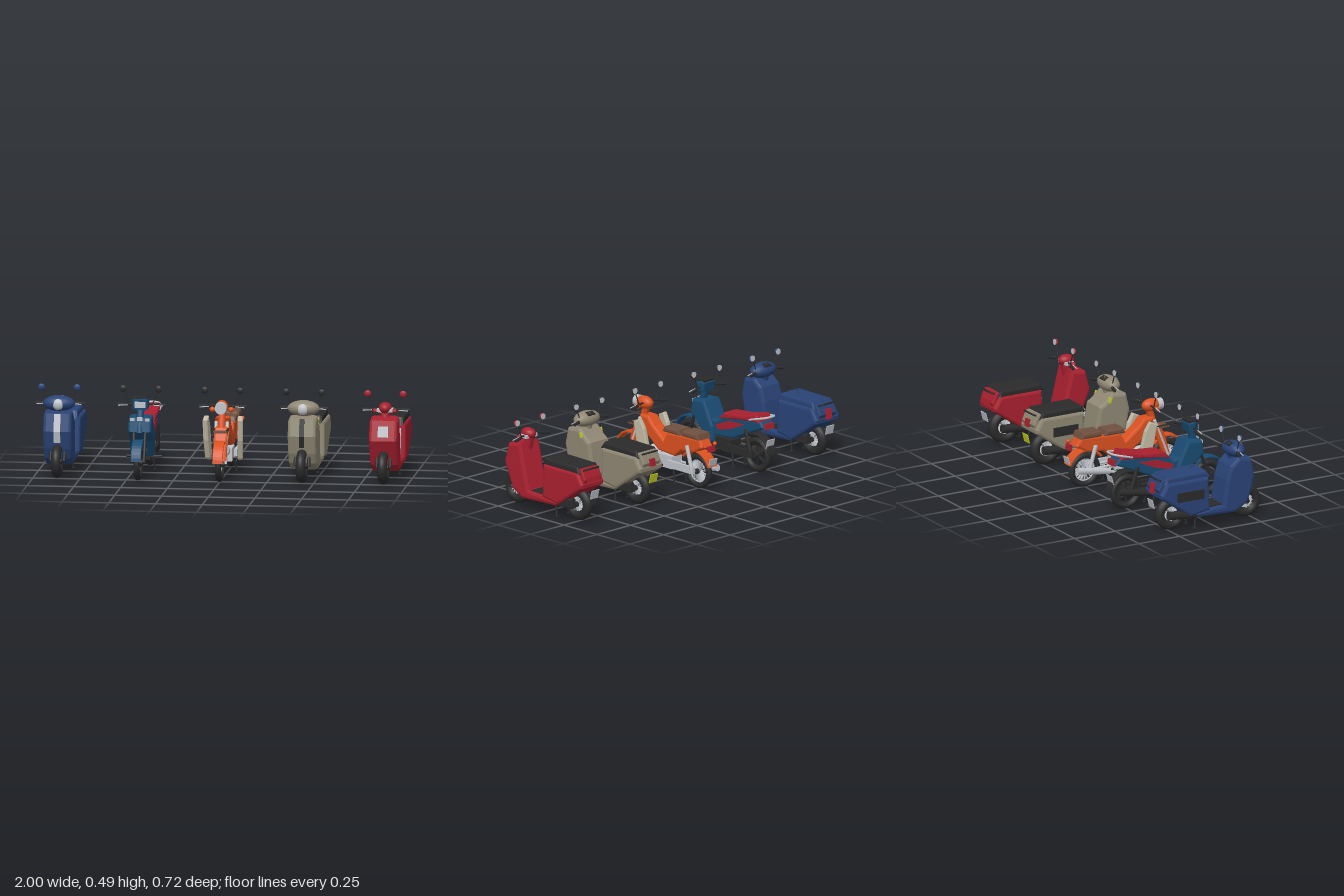
import * as THREE from 'three';

const colours = {
  black: 0x2b2b2b, silver: 0xc0c4ca, navy: 0x294376, teal: 0x194b72, orange: 0xdb511f,
  beige: 0x8f8773, red: 0xa9202f, brown: 0x70503f, cream: 0xc0b8a3, yellow: 0xc6d022,
};
const M = {};
for (const k in colours) {
  M[k] = new THREE.MeshStandardMaterial({ color: colours[k] });
  M[k].name = k;
}

function add(g, name, geo, mat, x = 0, y = 0, z = 0) {
  const m = new THREE.Mesh(geo, M[mat]);
  m.name = name;
  m.position.set(x, y, z);
  g.add(m);
  return m;
}
const box = (g, name, mat, w, h, d, x, y, z, rx = 0) => {
  const m = add(g, name, new THREE.BoxGeometry(w, h, d), mat, x, y, z);
  m.rotation.x = rx;
  return m;
};
const ball = (g, name, mat, rx, ry, rz, x, y, z) =>
  add(g, name, new THREE.SphereGeometry(1, 20, 12).scale(rx, ry, rz), mat, x, y, z);
// side outline of [z, y] points, extruded across x with chamfered edges
function side(g, name, mat, pts, w, b = 0.01, x = 0) {
  const geo = new THREE.ExtrudeGeometry(new THREE.Shape(pts.map(p => new THREE.Vector2(...p))), {
    depth: w - 2 * b, bevelEnabled: b > 0, bevelSize: b, bevelOffset: -b, bevelThickness: b, bevelSegments: 2,
  });
  geo.translate(0, 0, -(w - 2 * b) / 2).rotateY(-Math.PI / 2);
  return add(g, name, geo, mat, x);
}
// round rod between two points
function rod(g, name, mat, a, b, r) {
  const A = new THREE.Vector3(...a), B = new THREE.Vector3(...b), d = B.clone().sub(A);
  const m = add(g, name, new THREE.CylinderGeometry(r, r, d.length(), 10), mat);
  m.position.copy(A.add(B).multiplyScalar(0.5));
  m.quaternion.setFromUnitVectors(new THREE.Vector3(0, 1, 0), d.normalize());
  return m;
}
function tube(g, name, mat, pts, r) {
  const c = new THREE.CatmullRomCurve3(pts.map(p => new THREE.Vector3(...p)));
  return add(g, name, new THREE.TubeGeometry(c, 20, r, 8), mat);
}

// tyre, rim, hub and spokes
function wheel(g, name, z, r, t, spokeMat, spokes) {
  const w = new THREE.Group();
  w.name = name;
  w.position.set(0, r, z);
  g.add(w);
  add(w, 'tyre', new THREE.TorusGeometry(r - t, t, 12, 36).rotateY(Math.PI / 2), 'black');
  const rim = r - 2 * t;
  add(w, 'rim', new THREE.TorusGeometry(rim, 0.005, 6, 30).rotateY(Math.PI / 2), spokeMat);
  add(w, 'hub', new THREE.CylinderGeometry(0.015, 0.015, 0.05, 14).rotateZ(Math.PI / 2), 'black');
  for (let i = 0; i < spokes; i++) {
    const a = i / spokes * Math.PI * 2, s = Math.sin(a), c = Math.cos(a);
    const m = box(w, 'spoke', spokeMat, t > 0.02 ? 0.03 : 0.014, rim - 0.01, t > 0.02 ? 0.007 : 0.004,
      0, c * (rim + 0.01) / 2, s * (rim + 0.01) / 2, a);
    m.castShadow = true;
  }
}
// arched mudguard, angles in degrees from +z
function fender(g, name, mat, y, z, r, w, from, to) {
  const pts = [];
  for (let i = 0; i <= 14; i++) {
    const a = (from + (to - from) * i / 14) * Math.PI / 180;
    pts.push([z + r * Math.cos(a), y + r * Math.sin(a)]);
  }
  for (let i = 14; i >= 0; i--) {
    const a = (from + (to - from) * i / 14) * Math.PI / 180;
    pts.push([z + (r - 0.012) * Math.cos(a), y + (r - 0.012) * Math.sin(a)]);
  }
  side(g, name, mat, pts, w, 0.003);
}
// bar, grips, levers and mirrors
function handlebar(g, mirrorMat, z = 0.14) {
  tube(g, 'handlebar', 'black', [[-0.125, 0.385, z - 0.02], [-0.06, 0.392, z], [0.06, 0.392, z], [0.125, 0.385, z - 0.02]], 0.005);
  for (const s of [-1, 1]) {
    rod(g, 'grip', 'black', [s * 0.08, 0.389, z - 0.008], [s * 0.125, 0.385, z - 0.02], 0.008);
    rod(g, 'lever', 'silver', [s * 0.07, 0.388, z + 0.012], [s * 0.12, 0.383, z + 0.006], 0.003);
    rod(g, 'mirrorStalk', 'black', [s * 0.062, 0.39, z], [s * 0.088, 0.46, z], 0.003);
    ball(g, 'mirror', mirrorMat, 0.019, 0.018, 0.008, s * 0.095, 0.474, z + 0.003);
    add(g, 'mirrorGlass', new THREE.CylinderGeometry(0.016, 0.016, 0.003, 18).rotateX(Math.PI / 2), 'silver', s * 0.095, 0.474, z - 0.005);
  }
}
function stand(g) {
  for (const s of [-1, 1]) {
    rod(g, 'kickstand', 'black', [s * 0.035, 0.09, -0.095], [s * 0.045, 0.004, -0.11], 0.005);
    box(g, 'standFoot', 'black', 0.014, 0.006, 0.022, s * 0.045, 0.003, -0.112);
  }
}
function rear(g, z, lampY, plateY, lampW, lampH, plateMat = 'silver') {
  box(g, 'tailLight', 'red', lampW, lampH, 0.02, 0, lampY, z, 0.15);
  box(g, 'numberPlate', plateMat, 0.055, 0.05, 0.004, 0, plateY, z - 0.012, -0.25);
}

// step-through scooter with enclosed bodywork
function scooter(o) {
  const g = new THREE.Group();
  g.name = o.name;
  const c = o.body;
  wheel(g, 'frontWheel', 0.226, 0.09, 0.026, 'silver', 12);
  wheel(g, 'rearWheel', -0.234, 0.09, 0.026, 'silver', 12);
  side(g, 'legShieldAndFloor', c, [...o.shield, [-0.037, 0.105], [-0.15, 0.09], [-0.125, 0.066], [0.129, 0.057],
    [0.2, 0.1], ...o.nose], 0.152, 0.016);
  box(g, 'floorMat', 'black', 0.12, 0.006, 0.1, 0, 0.109, 0.02);
  side(g, 'rearBody', c, [[-0.037, 0.1], [-0.154, 0.082], [-0.335, 0.205], [-0.337, 0.225], [-0.3, 0.285], [-0.045, 0.285]], o.width, 0.014);
  box(g, 'seatFrontPanel', o.panel, 0.12, 0.14, 0.006, 0, 0.19, -0.036, -0.04);
  side(g, 'seat', o.seat, [[-0.022, 0.278], [-0.052, 0.318], [-0.29, 0.315], [-0.315, 0.275]], 0.15, 0.012);
  side(g, 'tailTrim', c, [[-0.295, 0.27], [-0.295, 0.305], [-0.318, 0.305], [-0.342, 0.25], [-0.33, 0.22]], 0.13, 0.008);
  rod(g, 'fork', 'black', [0.036, 0.2, 0.19], [0.036, 0.09, 0.226], 0.009);
  rod(g, 'fork', 'black', [-0.036, 0.2, 0.19], [-0.036, 0.09, 0.226], 0.009);
  rod(g, 'steeringColumn', c, [0, 0.3, 0.16], [0, 0.39, 0.14], 0.025);
  side(g, 'engineCase', 'black', [[-0.15, 0.075], [-0.25, 0.075], [-0.245, 0.125], [-0.15, 0.13]], 0.04, 0.006, 0.055);
  rod(g, 'muffler', 'black', [-0.062, 0.085, -0.12], [-0.062, 0.1, -0.28], 0.024);
  stand(g);
  handlebar(g, o.mirror);
  rear(g, -0.34, 0.25, 0.165, o.lampW, o.lampH, o.plate);
  tube(g, 'grabRail', 'black', [[-0.055, 0.29, -0.3], [-0.045, 0.305, -0.335], [0.045, 0.305, -0.335], [0.055, 0.29, -0.3]], 0.005);
  return g;
}
// wide handlebar cowl with an inset headlamp
function cowl(g, mat) {
  ball(g, 'headCowl', mat, 0.086, 0.042, 0.05, 0, 0.39, 0.155);
  ball(g, 'headlamp', 'silver', 0.032, 0.03, 0.02, 0, 0.388, 0.19);
  box(g, 'dial', 'black', 0.05, 0.006, 0.03, 0, 0.422, 0.128, -0.4);
}
function strip(g, mat, w) {
  side(g, 'frontStrip', mat, [[0.222, 0.343], [0.246, 0.25], [0.233, 0.19], [0.239, 0.19], [0.252, 0.25], [0.228, 0.343]], w, 0);
}

// small motorcycle running gear shared by the two open-framed bikes
function runningGear(g, c, spokeMat, spokes, metal) {
  wheel(g, 'frontWheel', 0.25, 0.095, 0.017, spokeMat, spokes);
  wheel(g, 'rearWheel', -0.25, 0.095, 0.017, spokeMat, spokes);
  fender(g, 'frontFender', c, 0.105, 0.248, 0.112, 0.055, 5, 140);
  for (const s of [-1, 1]) {
    rod(g, 'fork', metal, [s * 0.03, 0.095, 0.25], [s * 0.03, 0.31, 0.165], 0.009);
    rod(g, 'shockAbsorber', metal, [s * 0.045, 0.1, -0.245], [s * 0.045, 0.235, -0.205], 0.011);
    rod(g, 'swingArm', metal, [s * 0.032, 0.1, -0.25], [s * 0.032, 0.105, -0.07], 0.007);
    rod(g, 'footPeg', 'black', [s * 0.03, 0.085, -0.01], [s * 0.095, 0.088, -0.01], 0.007);
  }
  rod(g, 'steeringColumn', c, [0, 0.24, 0.19], [0, 0.39, 0.14], 0.02);
  box(g, 'engine', metal, 0.075, 0.07, 0.12, 0, 0.11, -0.025);
  rod(g, 'cylinderHead', metal, [0, 0.13, 0.02], [0, 0.145, 0.1], 0.03);
  tube(g, 'exhaustPipe', metal, [[0, 0.125, 0.095], [-0.03, 0.07, 0.06], [-0.055, 0.065, -0.05], [-0.058, 0.085, -0.15]], 0.008);
  rod(g, 'muffler', metal, [-0.06, 0.085, -0.13], [-0.062, 0.115, -0.33], 0.019);
  box(g, 'chainCase', metal, 0.015, 0.04, 0.2, 0.045, 0.105, -0.16);
  stand(g);
}

function sportBike() {
  const g = new THREE.Group(), c = 'teal';
  g.name = 'sportBike';
  runningGear(g, c, 'black', 6, 'black');
  side(g, 'legShield', c, [[0.185, 0.325], [0.1, 0.33], [0.035, 0.2], [0.03, 0.12], [0.07, 0.1], [0.13, 0.19], [0.2, 0.25]], 0.125, 0.012);
  side(g, 'frameBody', c, [[0.1, 0.25], [0.02, 0.235], [-0.05, 0.28], [-0.31, 0.295], [-0.34, 0.265], [-0.2, 0.205], [-0.1, 0.16], [0.05, 0.15]], 0.09, 0.01);
  side(g, 'sideStripe', 'red', [[0.02, 0.215], [-0.08, 0.255], [-0.2, 0.26], [-0.1, 0.215], [0.0, 0.19]], 0.096, 0);
  side(g, 'seat', 'red', [[0.0, 0.255], [-0.045, 0.295], [-0.17, 0.305], [-0.29, 0.33], [-0.31, 0.29], [-0.15, 0.275]], 0.105, 0.01);
  fender(g, 'rearFender', 'black', 0.105, -0.25, 0.112, 0.05, 70, 175);
  side(g, 'headCowl', c, [[0.17, 0.365], [0.12, 0.37], [0.11, 0.42], [0.14, 0.43], [0.175, 0.42]], 0.085, 0.008);
  box(g, 'headlamp', 'silver', 0.06, 0.032, 0.008, 0, 0.393, 0.174);
  box(g, 'dial', 'black', 0.075, 0.016, 0.05, 0, 0.427, 0.142);
  for (const s of [-1, 1]) box(g, 'turnSignal', 'silver', 0.025, 0.016, 0.006, s * 0.04, 0.315, 0.19);
  box(g, 'frontBadge', 'silver', 0.03, 0.02, 0.006, 0, 0.318, 0.189);
  tube(g, 'grabRail', 'silver', [[-0.05, 0.295, -0.24], [-0.052, 0.312, -0.3], [-0.03, 0.322, -0.345], [0.03, 0.322, -0.345], [0.052, 0.312, -0.3], [0.05, 0.295, -0.24]], 0.006);
  handlebar(g, 'black');
  rear(g, -0.335, 0.27, 0.175, 0.06, 0.03);
  return g;
}

function classicBike() {
  const g = new THREE.Group(), c = 'orange';
  g.name = 'classicBike';
  runningGear(g, c, 'silver', 18, 'silver');
  side(g, 'frameBody', c, [[0.16, 0.33], [0.1, 0.33], [0.06, 0.285], [-0.02, 0.225], [-0.05, 0.275], [-0.29, 0.285],
    [-0.32, 0.24], [-0.25, 0.2], [-0.15, 0.19], [-0.1, 0.15], [0.02, 0.16], [0.11, 0.23]], 0.08, 0.012);
  fender(g, 'rearFender', c, 0.1, -0.25, 0.115, 0.065, 35, 160);
  side(g, 'forkCover', c, [[0.2, 0.28], [0.15, 0.3], [0.17, 0.22], [0.22, 0.11], [0.26, 0.11], [0.23, 0.22]], 0.072, 0.01);
  side(g, 'frontSeat', 'brown', [[-0.02, 0.275], [-0.035, 0.305], [-0.14, 0.305], [-0.15, 0.275]], 0.1, 0.01);
  side(g, 'rearSeat', 'brown', [[-0.165, 0.278], [-0.175, 0.31], [-0.285, 0.31], [-0.295, 0.278]], 0.1, 0.01);
  box(g, 'frontRack', 'brown', 0.075, 0.008, 0.085, 0, 0.265, 0.21);
  for (const s of [-1, 1]) {
    rod(g, 'rackRail', 'black', [s * 0.036, 0.275, 0.17], [s * 0.036, 0.275, 0.25], 0.004);
    const p = side(g, 'legShield', 'cream', [[0.14, 0.31], [0.1, 0.33], [0.07, 0.28], [0.03, 0.12], [0.045, 0.085], [0.08, 0.1], [0.12, 0.2]], 0.028, 0.006, s * 0.078);
    p.rotation.y = s * 0.12;
    ball(g, 'turnSignal', c, 0.016, 0.015, 0.015, s * 0.05, 0.375, 0.165);
    ball(g, 'rearSignal', c, 0.012, 0.012, 0.012, s * 0.05, 0.25, -0.32);
  }
  ball(g, 'headlampShell', c, 0.034, 0.036, 0.055, 0, 0.388, 0.16);
  add(g, 'headlamp', new THREE.CylinderGeometry(0.031, 0.033, 0.03, 24).rotateX(Math.PI / 2), 'silver', 0, 0.388, 0.208);
  handlebar(g, 'black');
  rear(g, -0.345, 0.235, 0.16, 0.04, 0.03);
  return g;
}

export function createModel() {
  const root = new THREE.Group();
  root.name = 'scooterRow';
  const roundShield = [[0.225, 0.345], [0.15, 0.355], [0.1, 0.315], [0.075, 0.24], [0.055, 0.11]];
  const softNose = [[0.225, 0.155], [0.246, 0.25]];

  const navy = scooter({ name: 'navyScooter', body: 'navy', seat: 'navy', panel: 'navy', mirror: 'navy',
    shield: roundShield, nose: softNose, width: 0.18, lampW: 0.035, lampH: 0.055 });
  cowl(navy, 'navy');
  strip(navy, 'silver', 0.035);
  box(navy, 'sideIntake', 'black', 0.012, 0.05, 0.16, -0.092, 0.2, -0.16);
  const hook = add(navy, 'seatHandle', new THREE.TorusGeometry(0.056, 0.0018, 6, 28, Math.PI).rotateY(Math.PI / 2), 'black', 0, 0.288, -0.066);
  hook.visible = true;

  const beige = scooter({ name: 'beigeScooter', body: 'beige', seat: 'black', panel: 'black', mirror: 'black',
    shield: [[0.225, 0.34], [0.14, 0.35], [0.09, 0.304], [0.06, 0.285], [0.03, 0.11]], nose: softNose, width: 0.175, lampW: 0.035, lampH: 0.04, plate: 'yellow' });
  cowl(beige, 'beige');
  strip(beige, 'black', 0.026);
  box(beige, 'sideIntake', 'black', 0.012, 0.05, 0.15, -0.088, 0.2, -0.16);
  for (const s of [-1, 1]) box(beige, 'innerMarker', 'yellow', 0.008, 0.03, 0.015, s * 0.074, 0.318, 0.122, 0.3);

  const red = scooter({ name: 'redScooter', body: 'red', seat: 'black', panel: 'silver', mirror: 'red',
    shield: [[0.23, 0.343], [0.144, 0.357], [0.082, 0.11]], nose: [[0.259, 0.236]], width: 0.17, lampW: 0.09, lampH: 0.03 });
  box(red, 'frontPlate', 'silver', 0.055, 0.06, 0.006, 0, 0.285, 0.248, -0.26);
  ball(red, 'headlampCover', 'red', 0.034, 0.03, 0.045, 0, 0.4, 0.15);
  box(red, 'handlebarCover', 'silver', 0.085, 0.018, 0.05, 0, 0.388, 0.15);
  for (const s of [-1, 1]) ball(red, 'turnSignal', 'red', 0.014, 0.012, 0.014, s * 0.052, 0.385, 0.165);

  [navy, sportBike(), classicBike(), beige, red].forEach((b, i) => {
    b.position.x = (i - 2) * 0.436;
    root.add(b);
  });
  return root;
}
